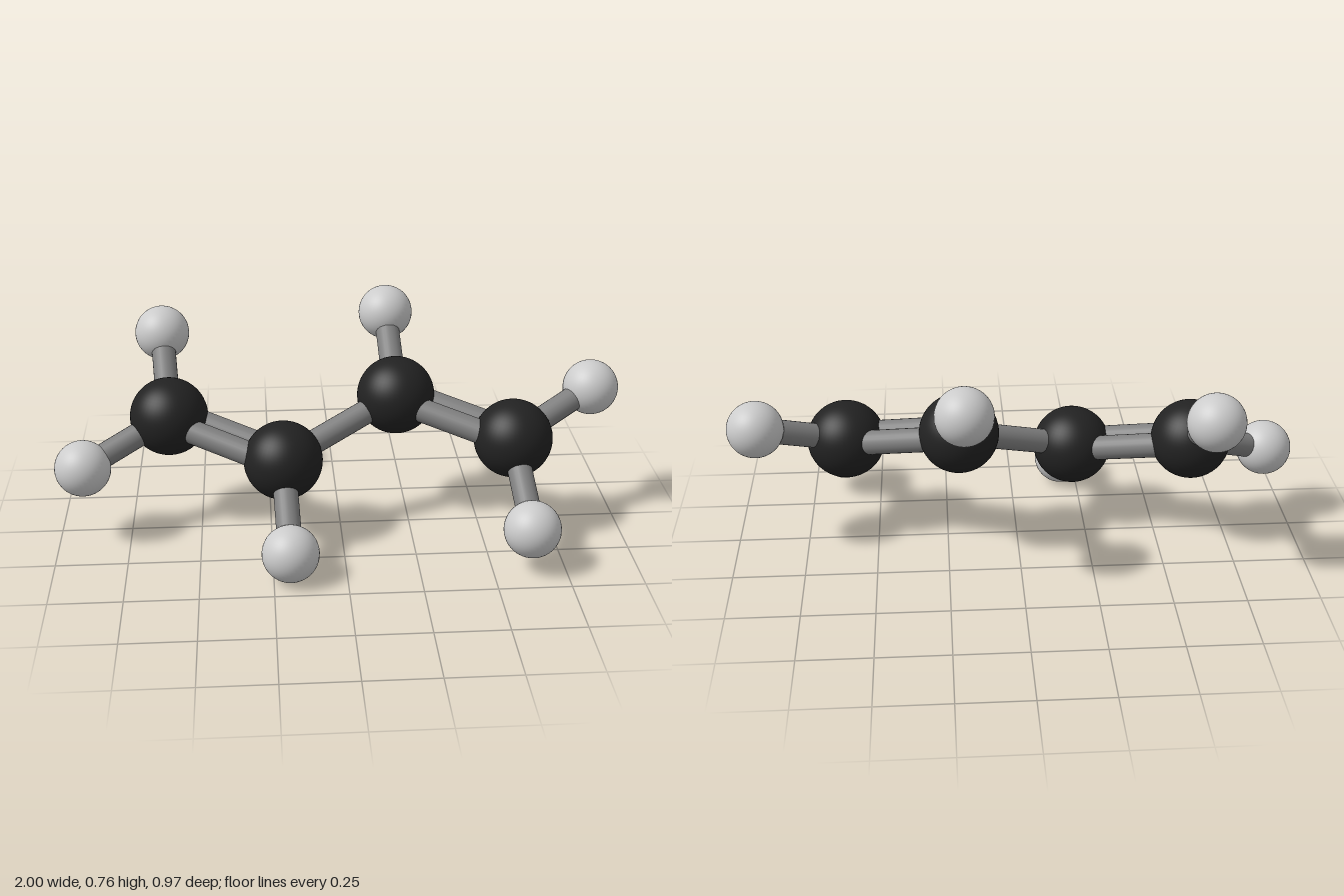
import * as THREE from 'three';

const CENTRE_Y = 0.383;
const BOND_RADIUS = 0.043;
const DOUBLE_OFFSET = 0.043;

export function createModel() {
  const model = new THREE.Group();
  const darkMat = new THREE.MeshStandardMaterial({ color: 0x222222 });
  const lightMat = new THREE.MeshStandardMaterial({ color: 0xcccccc });
  const bondMat = new THREE.MeshStandardMaterial({ color: 0x808080 });
  const carbonGeo = new THREE.SphereGeometry(0.138, 48, 32);
  const hydrogenGeo = new THREE.SphereGeometry(0.098, 40, 28);
  const up = new THREE.Vector3(0, 1, 0);

  function atom(name, geometry, material, position) {
    const mesh = new THREE.Mesh(geometry, material);
    mesh.name = name;
    mesh.position.copy(position);
    model.add(mesh);
  }

  // Straight rod between two atom centres, shifted sideways for double bonds
  function bond(name, a, b, shift = 0) {
    const dir = b.clone().sub(a);
    const side = dir.clone().cross(up).normalize().multiplyScalar(shift);
    const mesh = new THREE.Mesh(
      new THREE.CylinderGeometry(BOND_RADIUS, BOND_RADIUS, dir.length(), 24), bondMat);
    mesh.name = name;
    mesh.position.copy(a).add(b).multiplyScalar(0.5).add(side);
    mesh.quaternion.setFromUnitVectors(up, dir.normalize());
    model.add(mesh);
  }

  // One half of the chain, relative to the centre; the other half is its inversion
  const inner = [0.205, 0.077, -0.095];
  const outer = [0.603, -0.023, 0.081];
  const hydrogens = [
    { at: [0.192, 0.284, -0.389], on: inner },
    { at: [0.63, -0.229, 0.372], on: outer },
    { at: [0.902, 0.099, -0.07], on: outer },
  ];

  for (const s of [1, -1]) {
    const place = ([x, y, z]) => new THREE.Vector3(s * x, CENTRE_Y + s * y, s * z);
    const side = s > 0 ? 'left' : 'right';

    // Carbons and the double bond joining them
    atom(`${side}InnerCarbon`, carbonGeo, darkMat, place(inner));
    atom(`${side}OuterCarbon`, carbonGeo, darkMat, place(outer));
    for (const k of [-1, 1]) {
      bond(`${side}DoubleBond`, place(inner), place(outer), k * DOUBLE_OFFSET);
    }

    // Hydrogens with their single bonds
    hydrogens.forEach(({ at, on }, i) => {
      atom(`${side}Hydrogen${i + 1}`, hydrogenGeo, lightMat, place(at));
      bond(`${side}HydrogenBond${i + 1}`, place(on), place(at));
    });

    // Central single bond, built once
    if (s > 0) {
      const [x, y, z] = inner;
      bond('centralBond', place(inner), place([-x, -y, -z]));
    }
  }
  return model;
}
